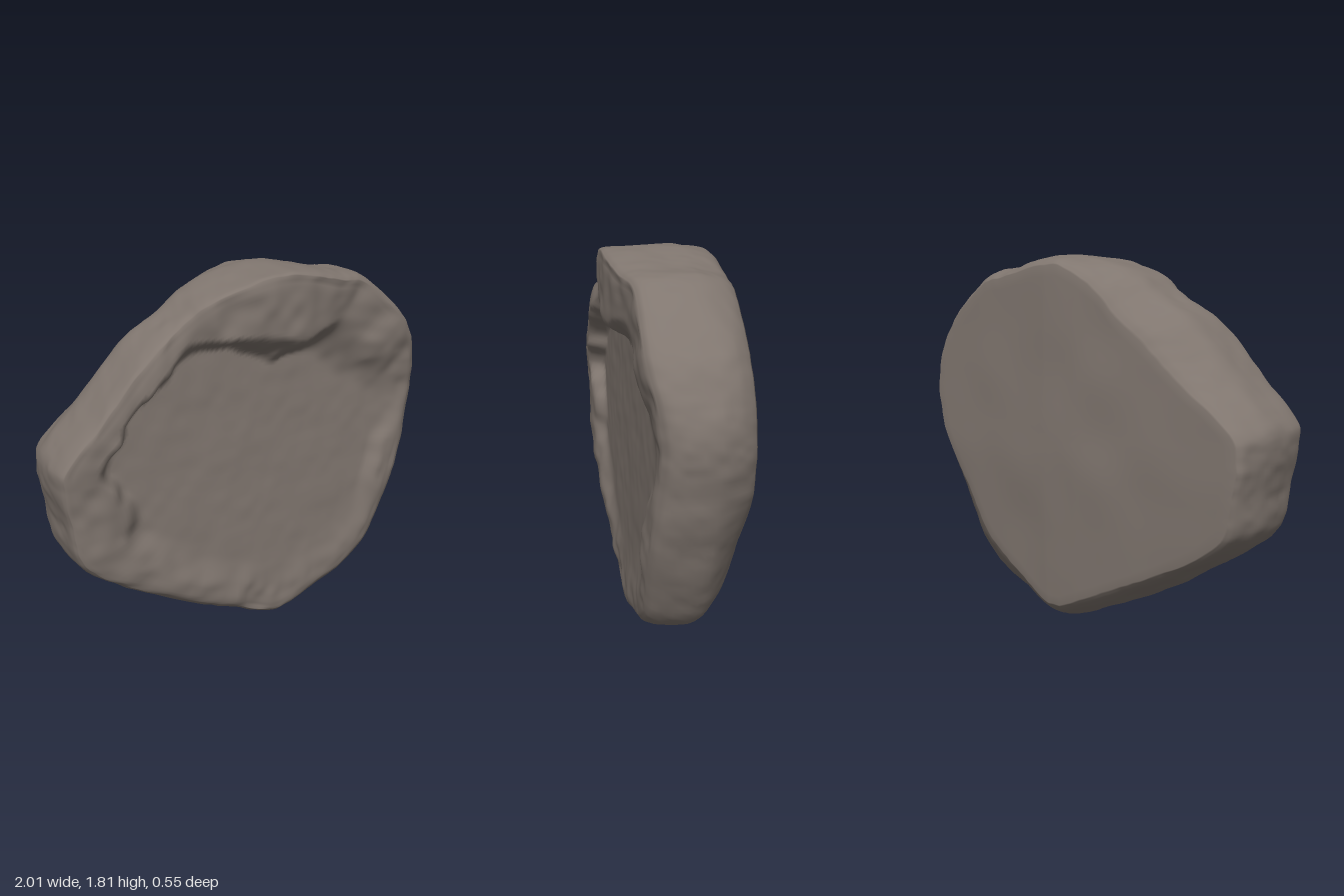
import * as THREE from 'three';
import { mergeVertices } from 'three/addons/utils/BufferGeometryUtils.js';

const CX = 0.02, CY = 0.92; // middle of the slab face
const SEGMENTS = 300, FRONT = 50, SIDE = 24, BACK = 16;
const { smoothstep } = THREE.MathUtils;

// Around the rim: x, y, z of the front edge, and how far out the hollow reaches (0..1)
const RIM = [
  [0.998, 1.2, 0.165, 0.7],
  [0.965, 1.34, 0.185, 0.62],
  [0.87, 1.51, 0.215, 0.58],
  [0.58, 1.74, 0.215, 0.57],
  [0.42, 1.765, 0.25, 0.57],
  [0.2, 1.808, 0.278, 0.52],
  [0, 1.802, 0.272, 0.57],
  [-0.27, 1.722, 0.235, 0.72],
  [-0.38, 1.645, 0.2, 0.79],
  [-0.58, 1.515, 0.24, 0.83],
  [-0.8, 1.285, 0.245, 0.8],
  [-0.995, 1.07, 0.24, 0.76],
  [-1, 0.99, 0.235, 0.72],
  [-0.975, 0.8, 0.225, 0.66],
  [-0.935, 0.61, 0.225, 0.66],
  [-0.58, 0.335, 0.215, 0.66],
  [-0.1, 0.08, 0.195, 0.64],
  [0.1, 0, 0.195, 0.65],
  [0.21, 0.012, 0.195, 0.66],
  [0.37, 0.07, 0.195, 0.68],
  [0.55, 0.14, 0.195, 0.7],
  [0.71, 0.27, 0.195, 0.74],
  [0.885, 0.65, 0.2, 0.76],
  [0.983, 1.02, 0.17, 0.75],
];

const closedCurve = (pick) =>
  new THREE.CatmullRomCurve3(RIM.map((r) => new THREE.Vector3(...pick(r))), true, 'centripetal');

// Seeded lattice noise in the range -1..1
function hash(x, y, z) {
  const s = Math.sin(x * 127.1 + y * 311.7 + z * 74.7) * 43758.5453;
  return (s - Math.floor(s)) * 2 - 1;
}
function noise(x, y, z) {
  const i = [x, y, z].map(Math.floor);
  const [u, v, w] = [x, y, z].map((n, k) => smoothstep(n - i[k], 0, 1));
  let sum = 0;
  for (let c = 0; c < 8; c++) {
    const a = c & 1, b = (c >> 1) & 1, d = c >> 2;
    sum += hash(i[0] + a, i[1] + b, i[2] + d) * (a ? u : 1 - u) * (b ? v : 1 - v) * (d ? w : 1 - w);
  }
  return sum;
}
const rough = (x, y, z) =>
  0.006 * noise(x * 6, y * 6, z * 6) + 0.0035 * noise(x * 15, y * 15, z * 15);

// Gently tilted hollow floor, and a back with a low ridge across the middle
const floorZ = (y) => 0.15 + (1 - y) * 0.04;
const backZ = (x, y) =>
  -0.274 + 0.035 * Math.hypot(y - 0.85, 0.08) + 0.05 * Math.max(0, x - 0.1) + 0.03 * Math.max(0, -x - 0.1);

function slabGeometry() {
  const outline = closedCurve(([x, y, z]) => [x, y, z]);
  const hollow = closedCurve(([x, y, , reach]) => [x, y, reach]);
  const rows = FRONT + SIDE + BACK;
  const positions = [], index = [];

  for (let i = 0; i < SEGMENTS; i++) {
    const p = outline.getPoint(i / SEGMENTS);
    const reach = hollow.getPoint(i / SEGMENTS).z;
    const radius = Math.hypot(p.x - CX, p.y - CY);
    const dx = (p.x - CX) / radius, dy = (p.y - CY) / radius;
    const at = (r) => [CX + dx * r, CY + dy * r];

    // Steep wall at upper left, gentle at right and below; wide back bevels at upper left and lower right
    const wall = 0.14 - 0.06 * smoothstep(dy - dx, 0.8, 1.25)
      + 0.14 * smoothstep(dx, 0.3, 0.7) * smoothstep(dy, -0.1, 0.4) + 0.1 * smoothstep(-dy, 0.2, 0.7);
    const frontInset = 0.018 + 0.045 * Math.max(0, dx) + 0.02 * Math.max(0, -dy);
    const backInset = 0.03 + 0.2 * Math.max(0, -dx * dy) + 0.05 * Math.max(0, dx) + 0.05 * Math.max(0, -dy);
    const frontR = radius - frontInset, backR = radius - backInset - 0.015;
    const endZ = backZ(...at(backR));

    // Edge section from the front rim round to the back face
    const section = new THREE.CatmullRomCurve3([
      [frontR, p.z - 0.008],
      [radius - frontInset * 0.4, p.z - 0.035],
      [radius, 0.07],
      [radius, -0.06],
      [radius - backInset * 0.35, -0.14],
      [radius - backInset * 0.8, endZ + 0.03],
      [backR, endZ],
    ].map(([r, z]) => new THREE.Vector3(r, z, 0)), false, 'centripetal');

    for (let j = 0; j <= rows; j++) {
      let x, y, z;
      if (j < FRONT) {
        // Front face: hollow floor, broken wall, raised rim
        const t = j / FRONT;
        [x, y] = at(frontR * t);
        const wobble = (0.05 * noise(x * 5, y * 5, 3) + 0.02 * noise(x * 13, y * 13, 5)) * Math.min(1, t * 2);
        const k = smoothstep(t + wobble, reach, reach + wall);
        z = floorZ(y) + (p.z - floorZ(y)) * k - 0.008 * smoothstep(t, 0.94, 1);
        z += rough(x, y, 1) * (0.45 + 1.3 * k);
      } else if (j <= FRONT + SIDE) {
        // Edge, with a finer grain than the faces
        const s = section.getPoint((j - FRONT) / SIDE);
        const grain = 0.002 * noise(p.x * 28, p.y * 28, s.y * 28);
        [x, y] = at(s.x + rough(p.x * 1.2, p.y * 1.2, s.y * 1.2) + grain - 0.002);
        z = s.y;
      } else {
        // Back face
        const t = 1 - (j - FRONT - SIDE) / BACK;
        [x, y] = at(backR * t);
        z = backZ(x, y) + 0.006 * noise(x * 4, y * 4, 7) * (1 - t ** 6);
      }
      positions.push(x, Math.max(0, y), z);
    }
  }

  // Join neighbouring spokes, closing to a point at the middle of each face
  for (let i = 0; i < SEGMENTS; i++) {
    const a = i * (rows + 1), b = ((i + 1) % SEGMENTS) * (rows + 1);
    index.push(a, a + 1, b + 1);
    for (let j = 1; j < rows; j++) {
      index.push(a + j, a + j + 1, b + j);
      if (j < rows - 1) index.push(b + j, a + j + 1, b + j + 1);
    }
  }

  const spokes = new THREE.BufferGeometry();
  spokes.setAttribute('position', new THREE.Float32BufferAttribute(positions, 3));
  spokes.setIndex(index);
  const geometry = mergeVertices(spokes, 1e-5);
  geometry.computeVertexNormals();
  return geometry;
}

export function createModel() {
  const stone = new THREE.MeshStandardMaterial({ color: 0x80766f });
  stone.name = 'stone';
  const slab = new THREE.Mesh(slabGeometry(), stone);
  slab.name = 'stoneSlab';
  const group = new THREE.Group();
  group.name = 'hollowedStone';
  group.add(slab);
  return group;
}
